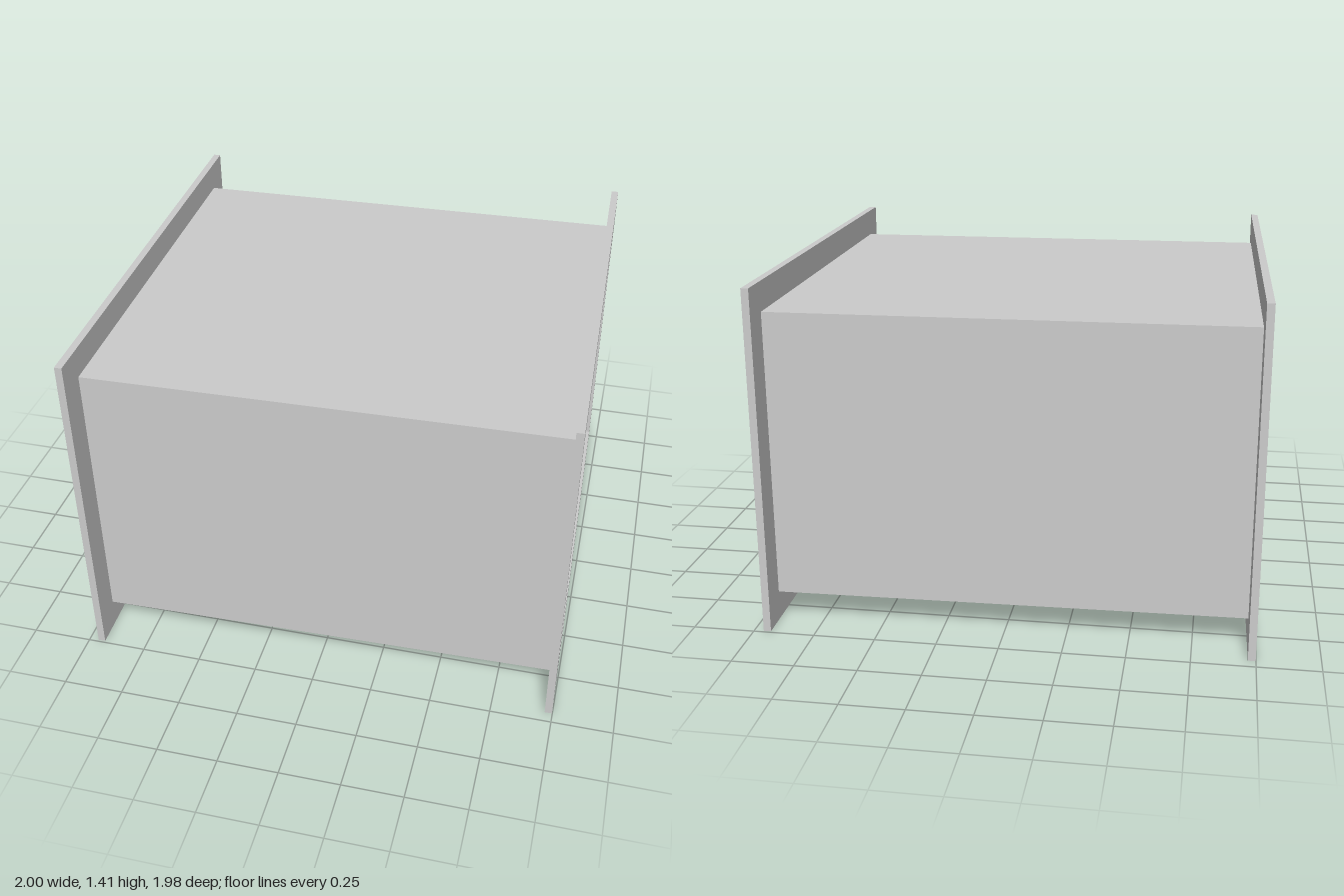
import * as THREE from 'three';

const HALF_LENGTH = 0.98, FLANGE = 0.03, HEIGHT = 1.41, MID = 0.706;
const material = new THREE.MeshStandardMaterial({ color: 0xcccccc, flatShading: true });

function rectangle(Type, w, h) {
  return new Type([[-w, -h], [w, -h], [w, h], [-w, h]].map(([x, y]) => new THREE.Vector2(x / 2, y / 2)));
}

// Rectangular frame in the yz plane, running along x from x0 for the given depth
function frame(name, width, height, holeWidth, holeHeight, x0, depth) {
  const shape = rectangle(THREE.Shape, width, height);
  shape.holes.push(rectangle(THREE.Path, holeWidth, holeHeight));
  const geometry = new THREE.ExtrudeGeometry(shape, { depth, bevelEnabled: false });
  geometry.rotateY(Math.PI / 2).translate(x0, MID, 0);
  const mesh = new THREE.Mesh(geometry, material);
  mesh.name = name;
  return mesh;
}

export function createModel() {
  const group = new THREE.Group();
  group.name = 'ductSection';

  // Duct walls, ending at the back of each flange
  const ductHalf = HALF_LENGTH - FLANGE;
  group.add(frame('ductWalls', 1.70, 1.174, 1.585, 1.06, -ductHalf, ductHalf * 2));

  // Flanges whose openings match the outside of the duct
  group.add(frame('leftFlange', 1.945, HEIGHT, 1.70, 1.174, ductHalf, FLANGE));
  group.add(frame('rightFlange', 1.945, HEIGHT, 1.70, 1.174, -HALF_LENGTH, FLANGE));

  // Thin closing plate halfway along the duct
  const plate = new THREE.Mesh(new THREE.BoxGeometry(0.01, 1.06, 1.585), material);
  plate.name = 'damperPlate';
  plate.position.y = MID;
  group.add(plate);

  // The whole section sits slightly turned
  group.rotation.y = 0.0195;
  return group;
}
